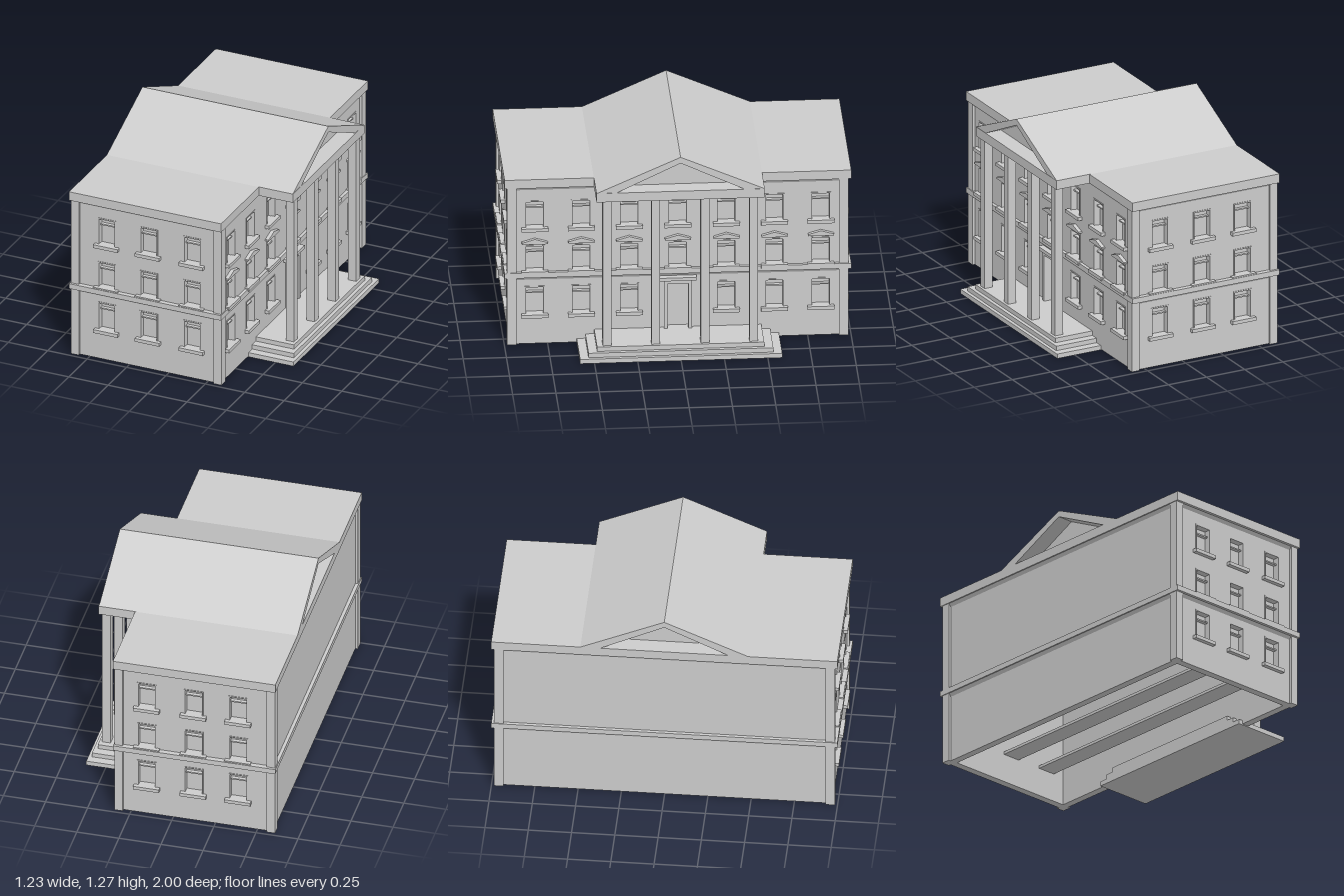
import * as THREE from 'three';

const material = new THREE.MeshStandardMaterial({ color: 0xcccccc, flatShading: true, side: THREE.DoubleSide });

// Overall plan: outer wall faces
const X0 = -0.595, X1 = 0.33, ZW = 0.97, MID = (X0 + X1) / 2;
const WALL = 0.045;
const ROWS = [[0.186, 0.37], [0.46, 0.63], [0.734, 0.912]];
const HALF = 0.0575; // half a window's width

function add(parent, name, geometry) {
  const mesh = new THREE.Mesh(geometry, material);
  mesh.name = name;
  parent.add(mesh);
  return mesh;
}

// Box given by its limits on each axis
function box(parent, name, x0, x1, y0, y1, z0, z1) {
  const mesh = add(parent, name, new THREE.BoxGeometry(x1 - x0, y1 - y0, z1 - z0));
  mesh.position.set((x0 + x1) / 2, (y0 + y1) / 2, (z0 + z1) / 2);
  return mesh;
}

function polygon(points) {
  return new THREE.Shape(points.map(([x, y]) => new THREE.Vector2(x, y)));
}

function rect(x0, x1, y0, y1) {
  return polygon([[x0, y0], [x1, y0], [x1, y1], [x0, y1]]);
}

function extrude(shape, depth) {
  return new THREE.ExtrudeGeometry(shape, { depth, bevelEnabled: false });
}

// Rectangular frame lying in the xy plane, from z0 to z1
function frame(parent, name, x0, x1, y0, y1, t, z0, z1) {
  const shape = rect(x0, x1, y0, y1);
  shape.holes.push(rect(x0 + t, x1 - t, y0 + t, y1 - t));
  const mesh = add(parent, name, extrude(shape, z1 - z0));
  mesh.position.z = z0;
  return mesh;
}

// Recessed sash window with a sill; the wall face is z = 0
function addWindow(parent, u, [y0, y1], pediment) {
  const g = new THREE.Group();
  g.name = 'window';
  g.position.x = u;
  parent.add(g);
  frame(g, 'windowFrame', -HALF, HALF, y0, y1, 0.008, -WALL, 0.003);
  box(g, 'transom', -HALF, HALF, y1 - 0.052, y1 - 0.044, -WALL, -0.015);
  box(g, 'pane', -HALF, HALF, y0, y1, -WALL, -WALL + 0.008);
  box(g, 'sill', -0.077, 0.077, y0 - 0.011, y0 + 0.01, -0.02, 0.026);
  if (pediment) {
    const hood = polygon([[-0.075, 0.643], [0.075, 0.643], [0.075, 0.653], [0, 0.675], [-0.075, 0.653]]);
    add(g, 'windowPediment', extrude(hood, 0.022));
  }
}

// Wall with real openings, face at z = 0, thickness towards -z
function addWall(parent, name, length, columns, entrance) {
  const wall = new THREE.Group();
  wall.name = name;
  parent.add(wall);
  const shape = rect(-length / 2, length / 2, 0.005, 1.0);
  columns.forEach((u) => ROWS.forEach((row, i) => {
    if (entrance && i === 0 && u === 0) return;
    shape.holes.push(rect(u - HALF, u + HALF, row[0], row[1]));
    addWindow(wall, u, row, entrance && i === 1);
  }));
  if (entrance) {
    // Door with surround and canopy
    shape.holes.push(rect(-0.06, 0.06, 0.07, 0.365));
    box(wall, 'door', -0.06, 0.06, 0.07, 0.365, -WALL, -0.03);
    const surround = polygon([[-0.08, 0.07], [-0.06, 0.07], [-0.06, 0.365], [0.06, 0.365],
      [0.06, 0.07], [0.08, 0.07], [0.08, 0.392], [-0.08, 0.392]]);
    add(wall, 'doorSurround', extrude(surround, 0.02));
    box(wall, 'doorCanopy', -0.107, 0.107, 0.39, 0.41, 0, 0.036);
  }
  add(wall, 'wallPanel', extrude(shape, WALL)).position.z = -WALL;
  return wall;
}

// Sloped moulding running around the walls beneath a band
function addMoulding(parent, top) {
  const geo = new THREE.CylinderGeometry(1, 1, 0.022, 4, 1, true, Math.PI / 4);
  const p = geo.attributes.position;
  for (let i = 0; i < p.count; i++) {
    const out = p.getY(i) > 0 ? 0.013 : -0.002;
    p.setX(i, Math.sign(p.getX(i)) * ((X1 - X0) / 2 + out));
    p.setZ(i, Math.sign(p.getZ(i)) * (ZW + out));
  }
  add(parent, 'moulding', geo).position.set(MID, top - 0.011, 0);
}

export function createModel() {
  const model = new THREE.Group();
  model.name = 'building';

  // Walls
  const ends = [-0.3875, -0.1225, 0.155].map((x) => x - MID);
  addWall(model, 'frontWall', X1 - X0, ends, false).position.set(MID, 0, ZW);
  const back = addWall(model, 'backWall', X1 - X0, ends.map((u) => -u), false);
  back.position.set(MID, 0, -ZW);
  back.rotation.y = Math.PI;
  const facade = addWall(model, 'entranceWall', 2 * ZW, [-0.825, -0.557, -0.28, 0, 0.28, 0.557, 0.825], true);
  facade.position.x = X1;
  facade.rotation.y = Math.PI / 2;
  const blank = addWall(model, 'blankWall', 2 * ZW, [], false);
  blank.position.x = X0;
  blank.rotation.y = -Math.PI / 2;

  // Corner pilasters
  for (const x of [-0.61, 0.295]) {
    for (const z of [-0.985, 0.93]) box(model, 'cornerPilaster', x, x + 0.05, 0.005, 1.0, z, z + 0.055);
  }

  // Beams running through the ground floor
  for (const u of ends) {
    box(model, 'floorBeam', u + MID - HALF, u + MID + HALF, 0.177, 0.194, -ZW + 0.02, ZW - 0.02);
  }

  // Storey band, mouldings and flat roof
  const band = frame(model, 'storeyBand', -0.615, 0.35, -1, 1, 0.05, 0, 0.032);
  band.rotation.x = -Math.PI / 2;
  band.position.y = 0.43;
  addMoulding(model, 0.43);
  addMoulding(model, 1.0);
  box(model, 'flatRoof', -0.615, 0.35, 1.0, 1.055, -1, 1);

  // Gable roof, open at both ends with a set-back infill
  const gable = polygon([[-0.485, 1.055], [-0.37, 1.055], [0, 1.232], [0.37, 1.055], [0.485, 1.055], [0, 1.27]]);
  const roof = add(model, 'gableRoof', extrude(gable, 1.18));
  roof.rotation.y = Math.PI / 2;
  roof.position.x = -0.615;
  const infill = polygon([[-0.372, 1.055], [0.372, 1.055], [0, 1.234]]);
  const tympanum = add(model, 'tympanum', extrude(infill, 0.98));
  tympanum.rotation.y = Math.PI / 2;
  tympanum.position.x = -0.515;

  // Portico
  const portico = new THREE.Group();
  portico.name = 'portico';
  model.add(portico);
  box(portico, 'entablature', 0.345, 0.567, 1.0, 1.056, -0.485, 0.485);
  for (const z of [-0.423, -0.142, 0.142, 0.423]) {
    box(portico, 'column', 0.505, 0.556, 0.08, 1.0, z - 0.025, z + 0.025);
  }
  [[0.615, 0.583], [0.594, 0.533], [0.572, 0.482]].forEach(([x, z], i) => {
    box(portico, 'step', 0.26, x, i * 0.0275, (i + 1) * 0.0275, -z, z);
  });

  return model;
}
